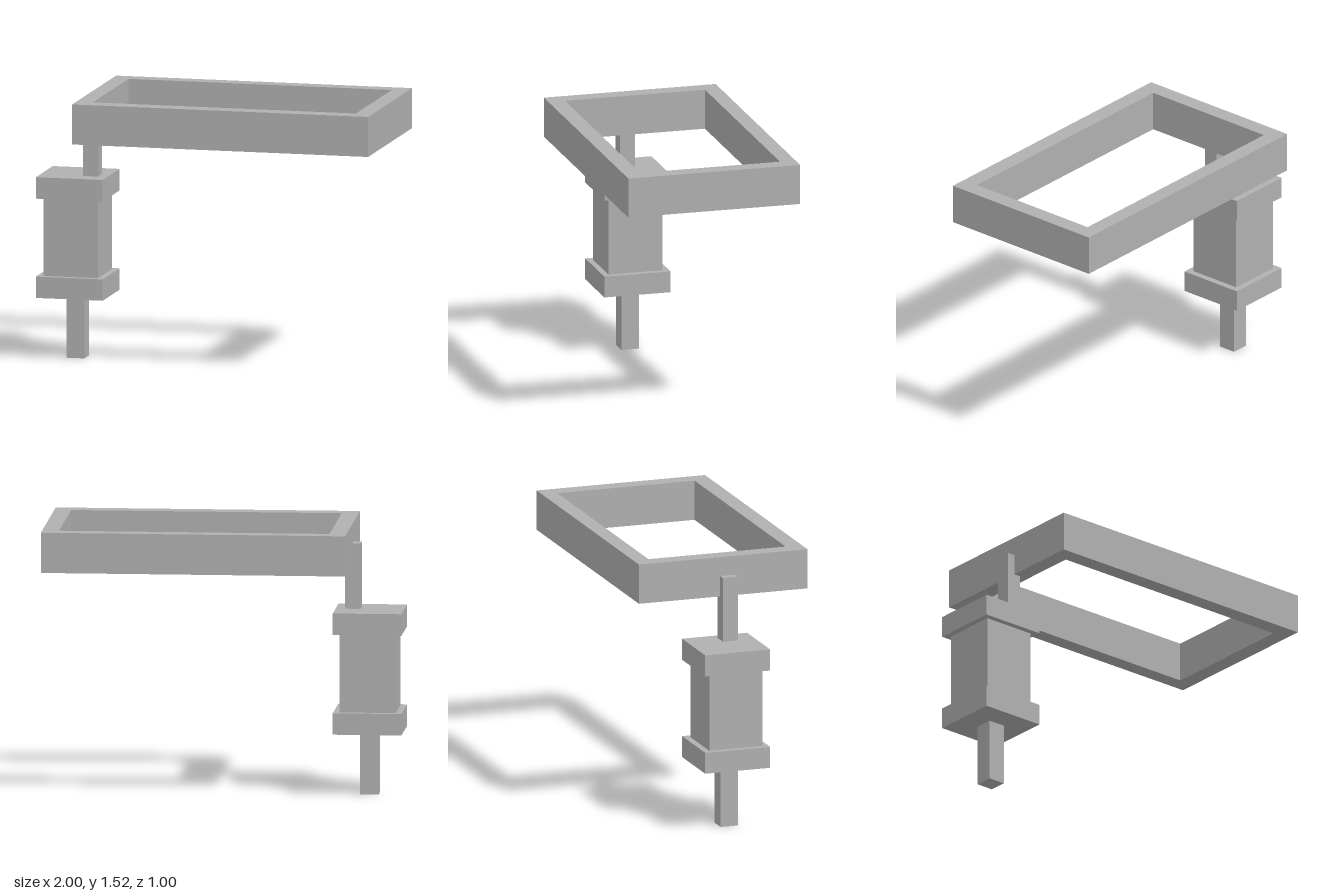
import * as THREE from 'three';

export function createModel() {
  const model = new THREE.Group();
  const grey = new THREE.MeshStandardMaterial({ color: 0xb0b0b0 });
  grey.name = 'plain grey';

  const add = (name, geometry) => {
    const mesh = new THREE.Mesh(geometry, grey);
    mesh.name = name;
    model.add(mesh);
    return mesh;
  };

  // Square block given by its centre, width and vertical extent
  const block = (name, x, z, size, bottom, top) =>
    add(name, new THREE.BoxGeometry(size, top - bottom, size))
      .position.set(x, (bottom + top) / 2, z);

  // Handle column, from the bottom up
  block('lowerStem', -0.808, -0.017, 0.104, 0, 0.356);
  block('lowerCap', -0.807, -0.018, 0.386, 0.356, 0.477);
  block('handleBody', -0.808, -0.017, 0.315, 0.477, 0.919);
  block('upperCap', -0.807, -0.018, 0.386, 0.919, 1.041);
  block('upperPost', -0.71, 0.026, 0.088, 1.041, 1.41);

  // Open rectangular frame, drawn flat and extruded upward
  const rectangle = (PathType, x0, x1, y0, y1) => new PathType([
    new THREE.Vector2(x0, y0), new THREE.Vector2(x1, y0),
    new THREE.Vector2(x1, y1), new THREE.Vector2(x0, y1),
  ]);
  const outline = rectangle(THREE.Shape, -0.708, 1, -0.5, 0.5);
  outline.holes.push(rectangle(THREE.Path, -0.613, 0.905, -0.404, 0.41));
  const frame = new THREE.ExtrudeGeometry(outline, { depth: 0.227, bevelEnabled: false });
  frame.rotateX(-Math.PI / 2);
  add('openFrame', frame).position.y = 1.292;

  return model;
}
